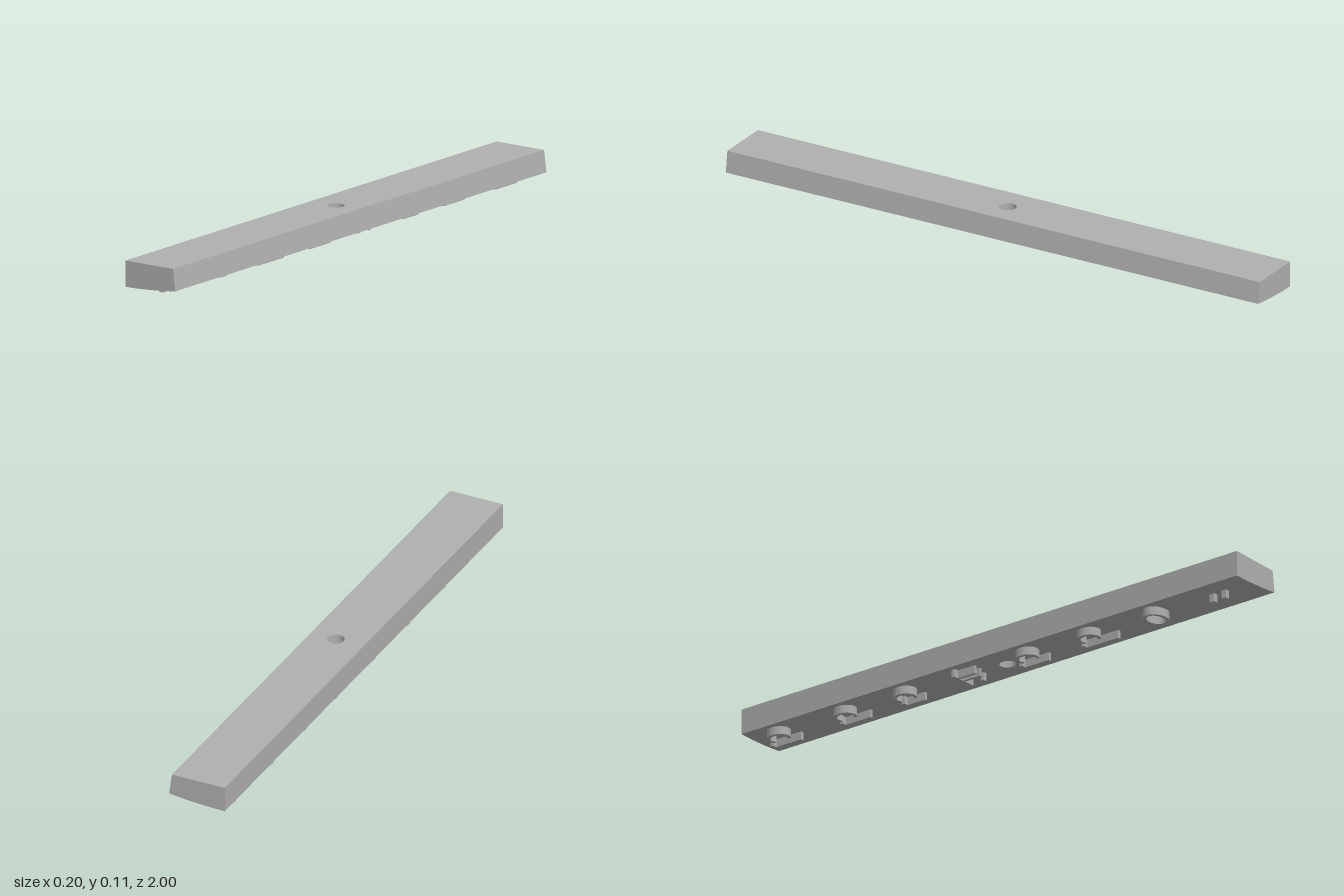
import * as THREE from 'three';
import { toCreasedNormals } from 'three/addons/utils/BufferGeometryUtils.js';

const TOP = 0.115, HOLE = 0.028, LUG = 0.028;
// gently curved underside, rising towards +x
const underside = (x) => 0.028 + 0.014 * ((x + 0.1) / 0.2) ** 2;

const rect = (x0, x1, z0, z1) => new THREE.Shape([
  new THREE.Vector2(x0, z0), new THREE.Vector2(x1, z0),
  new THREE.Vector2(x1, z1), new THREE.Vector2(x0, z1)]);

function drillHole(shape) {
  const hole = new THREE.Path();
  hole.absarc(0, 0, HOLE, 0, Math.PI * 2, true);
  shape.holes.push(hole);
  return shape;
}

// lays a plan-drawn geometry against the curved underside, depth pointing down
function drape(geometry) {
  const p = geometry.attributes.position;
  for (let i = 0; i < p.count; i++) {
    const x = p.getX(i), z = p.getY(i), depth = p.getZ(i);
    p.setXYZ(i, x, underside(x) - depth, z);
  }
  geometry.computeVertexNormals();
  return geometry;
}

// curved band around a centre, as a closed plan shape
function arcBand(cx, cz, rx, rz, width, start, end) {
  const points = [], n = 28;
  const add = (k, inset) => {
    const a = start + (end - start) * k / n;
    points.push(new THREE.Vector2(cx + (rx - inset) * Math.cos(a), cz + (rz - inset) * Math.sin(a)));
  };
  for (let k = 0; k <= n; k++) add(k, 0);
  for (let k = n; k >= 0; k--) add(k, width);
  return new THREE.Shape(points);
}

export function createModel() {
  const model = new THREE.Group();
  const grey = new THREE.MeshStandardMaterial({ color: 0xb0b0b0, side: THREE.DoubleSide });
  grey.name = 'grey';
  const add = (parent, name, geometry) => {
    const mesh = new THREE.Mesh(geometry, grey);
    mesh.name = name;
    parent.add(mesh);
    return mesh;
  };

  // bar: top, underside strips, ends, long sides and the bore
  const bar = new THREE.Group();
  bar.name = 'bar';
  model.add(bar);

  const top = new THREE.ShapeGeometry(drillHole(rect(-0.1, 0.09, -1, 1)), 32);
  add(bar, 'topFace', top.rotateX(-Math.PI / 2).translate(0, TOP, 0));

  const knots = [-0.1, -0.07, -0.035, 0.035, 0.07, 0.1];
  for (let i = 0; i < knots.length - 1; i++) {
    const strip = rect(knots[i], knots[i + 1], -1, 1);
    if (i === 2) drillHole(strip);
    add(bar, 'underside', drape(new THREE.ShapeGeometry(strip, 32)));
  }

  const section = new THREE.Shape([
    ...knots.map((x) => new THREE.Vector2(x, underside(x))),
    new THREE.Vector2(0.09, TOP), new THREE.Vector2(-0.1, TOP)]);
  add(bar, 'frontEnd', new THREE.ShapeGeometry(section).translate(0, 0, 1));
  add(bar, 'backEnd', new THREE.ShapeGeometry(section).rotateY(Math.PI).scale(-1, 1, 1).translate(0, 0, -1));
  const backIndex = bar.children[bar.children.length - 1].geometry.index.array;
  for (let i = 0; i < backIndex.length; i += 3) [backIndex[i], backIndex[i + 1]] = [backIndex[i + 1], backIndex[i]];

  for (const side of [-1, 1]) {
    const wall = new THREE.PlaneGeometry(2, 1).rotateY(side * Math.PI / 2);
    const p = wall.attributes.position;
    for (let i = 0; i < p.count; i++) {
      const upper = p.getY(i) > 0;
      p.setX(i, side < 0 ? -0.1 : upper ? 0.09 : 0.1);
      p.setY(i, upper ? TOP : underside(side * 0.1));
    }
    wall.computeVertexNormals();
    add(bar, 'longSide', wall);
  }

  const bore = new THREE.CylinderGeometry(HOLE, HOLE, 1, 32, 1, true).scale(-1, 1, 1);
  const b = bore.attributes.position;
  for (let i = 0; i < b.count; i++) b.setY(i, b.getY(i) > 0 ? TOP : underside(b.getX(i)));
  bore.computeVertexNormals();
  add(bar, 'bore', bore);

  // raised lugs under the bar
  const lugs = new THREE.Group();
  lugs.name = 'undersideLugs';
  model.add(lugs);
  const lug = (name, shape) => add(lugs, name, toCreasedNormals(
    drape(new THREE.ExtrudeGeometry(shape, { depth: LUG, bevelEnabled: false })), 0.6));

  // two small posts
  for (const z of [0.897, 0.849]) lug('post', rect(-0.034, -0.017, z - 0.009, z + 0.009));

  // closed oval collar
  const oval = new THREE.Shape().absellipse(-0.032, 0.622, 0.05, 0.039, 0, Math.PI * 2);
  oval.holes.push(new THREE.Path().absellipse(-0.032, 0.622, 0.039, 0.027, 0, Math.PI * 2, true));
  lug('ovalCollar', oval);

  // straight rib beside an open collar: [rib start, rib end, collar centre]
  const sets = [[0.305, 0.44, 0.362], [0.055, 0.16, 0.113], [-0.42, -0.34, -0.38],
    [-0.67, -0.56, -0.622], [-0.95, -0.84, -0.89]];
  for (const [z0, z1, zc] of sets) {
    lug('rib', rect(0.006, 0.018, z0, z1));
    lug('ribEnd', rect(-0.012, 0.006, z0, z0 + 0.011));
    lug('openCollar', arcBand(-0.046, zc, 0.036, 0.04, 0.011, 0.9, 5.4));
  }

  // cross rib with two rungs
  lug('crossRib', rect(-0.082, 0.018, -0.165, -0.153));
  for (const x of [-0.06, -0.033]) lug('rung', rect(x - 0.005, x + 0.005, -0.153, -0.085));
  lug('post', rect(0, 0.016, -0.11, -0.098));

  return model;
}
